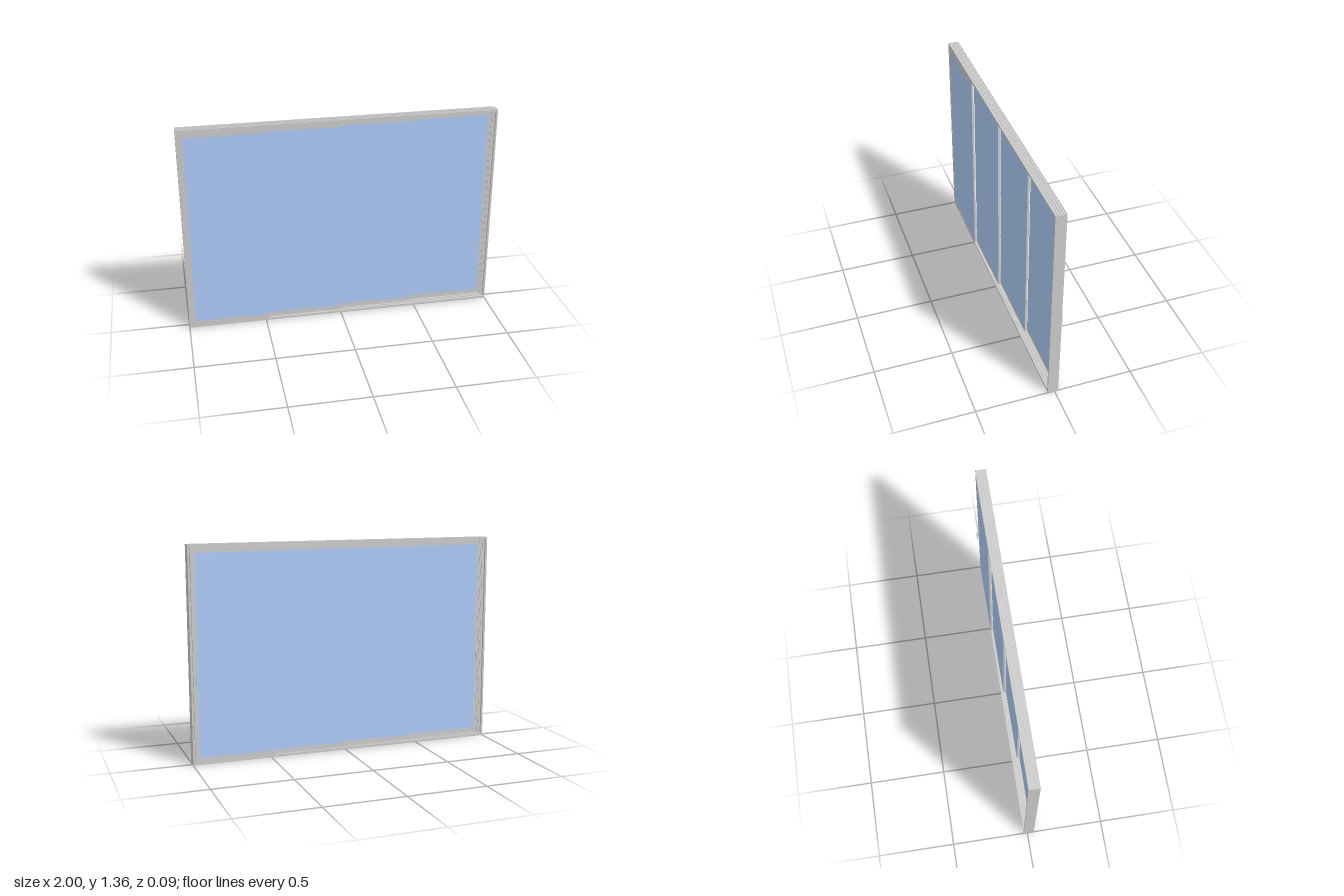
import * as THREE from 'three';
import { RoundedBoxGeometry } from 'three/addons/geometries/RoundedBoxGeometry.js';

const H = 1.355, SILL = 0.015, HEAD = 1.34, JAMB = 0.012;
const FRONT = 0.0425, BACK = -0.0245;
const TRACK = 0.0183, THICK = 0.013, FIRST_Z = 0.0357;

const grey = new THREE.MeshStandardMaterial({ color: 0xcccccc });
const glassBlue = new THREE.MeshStandardMaterial({ color: 0xaecbf8 });

// Box given by its limits on each axis
function box(parent, name, [x0, x1], [y0, y1], [z0, z1], material = grey) {
  const mesh = new THREE.Mesh(new THREE.BoxGeometry(x1 - x0, y1 - y0, z1 - z0), material);
  mesh.position.set((x0 + x1) / 2, (y0 + y1) / 2, (z0 + z1) / 2);
  mesh.name = name;
  parent.add(mesh);
  return mesh;
}

// Outer frame with track fins between the four sliding lanes
function createFrame() {
  const frame = new THREE.Group();
  frame.name = 'outerFrame';
  const depth = [BACK, FRONT];
  box(frame, 'sill', [-1, 1], [0, SILL], depth);
  box(frame, 'header', [-1, 1], [HEAD, H - 0.003], depth);
  for (const s of [-1, 1]) {
    const xs = [s, s * (1 - JAMB)].sort((a, b) => a - b);
    box(frame, 'jamb', xs, [SILL, HEAD], depth);
  }
  // Ribs along the top of the header
  for (let i = 0; i < 5; i++) {
    const z = BACK + 0.0015 + i * (FRONT - BACK - 0.003) / 4;
    box(frame, 'headerRib', [-1, 1], [H - 0.003, H], [z - 0.0015, z + 0.0015]);
  }
  for (let i = 0; i < 3; i++) {
    const z = FIRST_Z - (i + 0.5) * TRACK;
    const zs = [z - 0.001, z + 0.001];
    box(frame, 'sillTrack', [-0.988, 0.988], [SILL, SILL + 0.004], zs);
    box(frame, 'headerTrack', [-0.988, 0.988], [HEAD - 0.004, HEAD], zs);
    box(frame, 'leftJambFin', [0.972, 0.988], [SILL, HEAD], zs);
    box(frame, 'rightJambFin', [-0.988, -0.972], [SILL, HEAD], zs);
  }
  return frame;
}

// Sliding panel: rails, stiles and a pane flush with the rails
function createPanel(x0, x1, z, wideRight, wideLeft) {
  const panel = new THREE.Group();
  panel.name = 'slidingPanel';
  const zs = [z - THICK / 2, z + THICK / 2];
  const y0 = SILL + 0.001, y1 = HEAD - 0.001, low = 0.045, high = 1.305;
  const g0 = wideRight ? -0.958 : x0 + 0.003;
  const g1 = wideLeft ? 0.958 : x1 - 0.003;
  box(panel, 'bottomRail', [x0, x1], [y0, low], zs);
  box(panel, 'topRail', [x0, x1], [high, y1], zs);
  box(panel, 'rightStile', [x0, g0], [low, high], zs);
  box(panel, 'leftStile', [g1, x1], [low, high], zs);
  box(panel, 'glass', [g0, g1], [low, high], [zs[0] - 0.0002, zs[1] + 0.0002], glassBlue);
  return panel;
}

// Slim recessed-style finger pull plate
function createFlushPull(x, z) {
  const pull = new THREE.Group();
  pull.name = 'flushPull';
  const plate = new THREE.Mesh(new RoundedBoxGeometry(0.01, 0.095, 0.002, 2, 0.0009), grey);
  plate.name = 'pullPlate';
  const grip = new THREE.Mesh(new RoundedBoxGeometry(0.004, 0.075, 0.003, 2, 0.001), grey);
  grip.name = 'pullGrip';
  pull.add(plate, grip);
  pull.position.set(x, 0.558, z);
  return pull;
}

// Bowed pull handle with base plate and lock cylinder
function createPullHandle(x, z) {
  const handle = new THREE.Group();
  handle.name = 'pullHandle';
  box(handle, 'handlePlate', [-0.006, 0.006], [-0.055, 0.055], [-0.0015, 0]);
  const path = new THREE.CatmullRomCurve3([
    [-0.05, 0], [-0.05, -0.007], [-0.043, -0.0125], [-0.02, -0.0138],
    [0.02, -0.0138], [0.043, -0.0125], [0.05, -0.007], [0.05, 0],
  ].map(([y, d]) => new THREE.Vector3(0, y, d)));
  const bar = new THREE.Mesh(new THREE.TubeGeometry(path, 48, 0.0025, 10), grey);
  bar.name = 'handleBar';
  const lock = new THREE.Mesh(new THREE.CylinderGeometry(0.003, 0.003, 0.004, 16), grey);
  lock.name = 'lockCylinder';
  lock.rotation.x = Math.PI / 2;
  lock.position.set(-0.011, -0.012, -0.001);
  handle.add(bar, lock);
  handle.position.set(x, 0.56, z);
  return handle;
}

export function createModel() {
  const model = new THREE.Group();
  model.name = 'slidingDoor';
  model.add(createFrame());

  // Four panels, each one lane further back
  const edges = [[-0.985, -0.477], [-0.483, 0.003], [-0.003, 0.483], [0.477, 0.985]];
  edges.forEach(([x0, x1], i) => {
    model.add(createPanel(x0, x1, FIRST_Z - i * TRACK, i === 0, i === 3));
  });

  // Hardware on the two end panels
  const lastZ = FIRST_Z - 3 * TRACK, half = THICK / 2;
  model.add(
    createFlushPull(-0.972, FIRST_Z + half),
    createFlushPull(-0.966, FIRST_Z - half),
    createFlushPull(0.966, lastZ + half),
    createPullHandle(0.966, lastZ - half),
  );
  return model;
}
